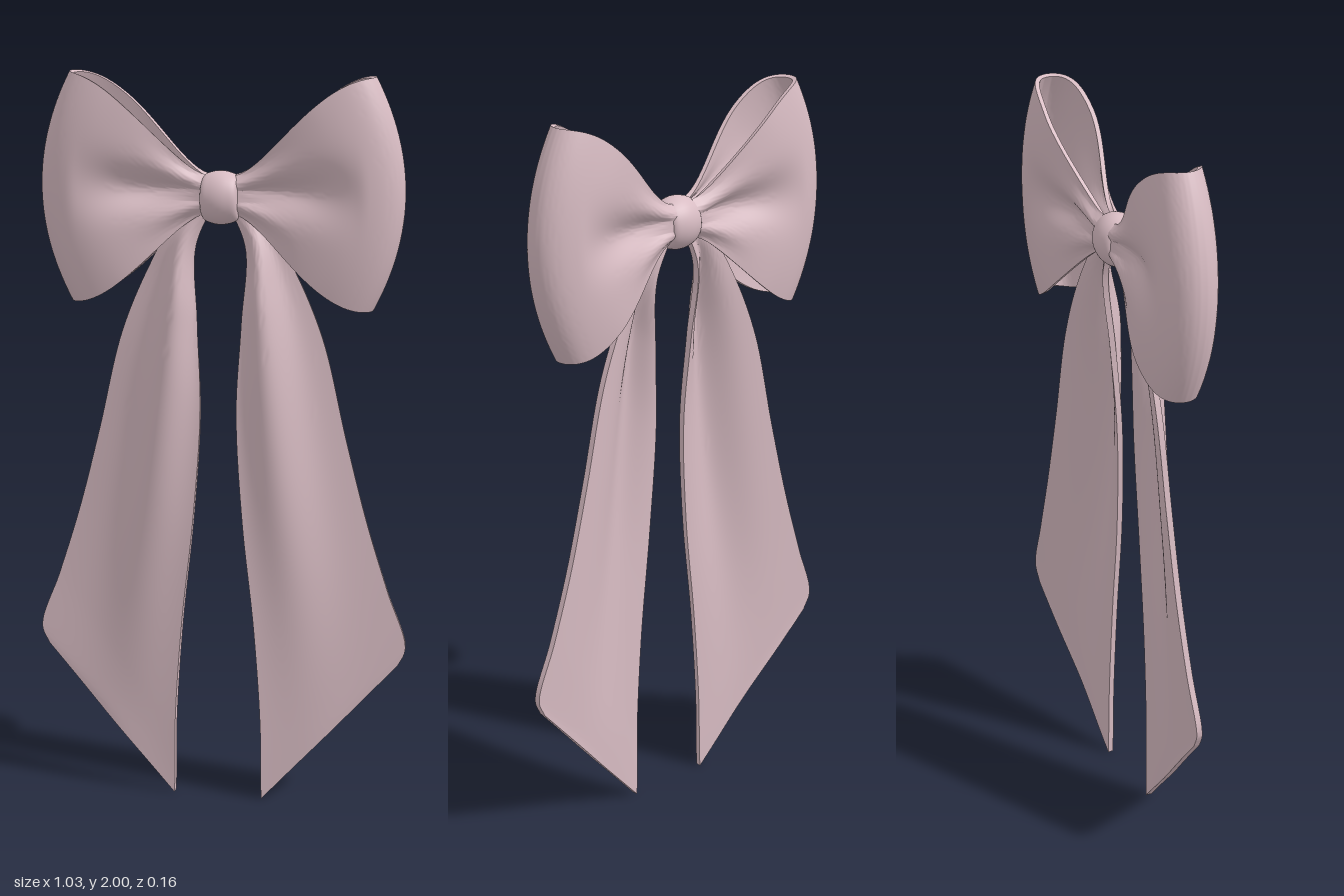
import * as THREE from 'three';
import { toCreasedNormals } from 'three/addons/utils/BufferGeometryUtils.js';

const { smoothstep, lerp } = THREE.MathUtils;

// Solid ribbon: a surface point(u, v), u and v in 0..1, thickened to both sides
function ribbon(point, half, nu, nv) {
  const ring = [];
  for (let j = 0; j <= nv; j++) ring.push([j / nv, half]);
  for (let j = nv; j >= 0; j--) ring.push([j / nv, -half]);
  const K = ring.length, pos = [], idx = [], e = 0.002;
  const at = (u, v) => point(THREE.MathUtils.clamp(u, 0, 1), THREE.MathUtils.clamp(v, 0, 1));
  for (let i = 0; i <= nu; i++) {
    const u = i / nu;
    for (const [v, off] of ring) {
      const du = at(u + e, v).sub(at(u - e, v));
      const dv = at(u, v + e).sub(at(u, v - e));
      const n = du.cross(dv).normalize();
      pos.push(...at(u, v).addScaledVector(n, off).toArray());
    }
  }
  for (let i = 0; i < nu; i++) {
    for (let k = 0; k < K; k++) {
      const a = i * K + k, c = i * K + (k + 1) % K;
      idx.push(a, a + K, c, c, a + K, c + K);
    }
  }
  // End caps
  for (let k = 0; k < nv; k++) {
    const m = K - 1 - k, o = nu * K;
    idx.push(o + m, o + m - 1, o + k + 1, o + m, o + k + 1, o + k);
    idx.push(m, k + 1, m - 1, m, k, k + 1);
  }
  const geo = new THREE.BufferGeometry();
  geo.setAttribute('position', new THREE.Float32BufferAttribute(pos, 3));
  geo.setIndex(idx);
  return toCreasedNormals(geo, 0.9);
}

// Teardrop band running from the knot out along the front and home along the back
function loopPoint(side) {
  return (u, w) => {
    const t = 1 - 2 * u, v = 2 * w - 1;
    const f = Math.sin((1 - Math.abs(t)) * Math.PI / 2);
    const reach = 0.405 + 0.08 * (1 - v * v);
    const x = lerp(0.025, reach, f);
    const h = 0.045 + 0.26 * smoothstep(Math.pow(Math.max(f, 0), 0.85), 0, 1);
    const body = lerp(0.036, 0.082, smoothstep(f, 0.05, 0.75));
    const edge = lerp(0.012, 0.066, smoothstep(f, 0, 0.65));
    let z = lerp(body, edge, Math.pow(Math.abs(v), 3));
    z *= Math.sqrt(Math.max(0, 1 - Math.pow(f, 7)));
    // Pinched crease in the middle, with finer pleats by the knot
    const pinch = Math.sin(Math.PI * Math.min(f / 0.8, 1));
    z -= 0.036 * pinch * Math.exp(-Math.pow((v - 0.05) / 0.3, 2));
    z += 0.004 * Math.cos(v * 11) * smoothstep(f, 0, 0.1) * (1 - smoothstep(f, 0.15, 0.5));
    return new THREE.Vector3(side * x, 1.685 + 0.01 * f + v * h, Math.sign(t) * z);
  };
}

const curve = (pts) => new THREE.CatmullRomCurve3(pts.map(([x, y, z]) => new THREE.Vector3(x, y, z)));

// Hanging tail between an inner and an outer edge, cut at a slant
function tailPoint(side) {
  const inner = curve([[0.02, 1.66, 0], [0.07, 1.54, 0.005], [0.062, 1.34, 0.02], [0.05, 1.1, 0.035],
    [0.068, 0.8, 0.045], [0.1, 0.5, 0.047], [0.119, 0.22, 0.047], [0.121, 0.05, 0.046], [0.123, 0.005, 0.046]]);
  const outer = curve([[0.03, 1.69, 0], [0.13, 1.6, 0], [0.2, 1.48, -0.008], [0.275, 1.3, -0.01],
    [0.34, 1.03, -0.01], [0.4, 0.8, -0.01], [0.46, 0.61, -0.008], [0.512, 0.455, -0.003], [0.492, 0.405, 0]]);
  return (u, v) => {
    const p = inner.getPoint(u).lerp(outer.getPoint(u), v);
    // Soft fold under the knot, fading downwards
    const fold = smoothstep(u, 0.04, 0.27) * (1 - smoothstep(u, 0.3, 0.85));
    p.z += (0.05 * fold + 0.006) * Math.exp(-Math.pow((v - 0.4) / 0.25, 2));
    p.x *= side;
    return p;
  };
}

export function createModel() {
  const group = new THREE.Group();
  const pink = new THREE.MeshStandardMaterial({ color: 0xd8bcc3 });
  pink.name = 'dusty pink';
  const add = (name, geo) => {
    const mesh = new THREE.Mesh(geo, pink);
    mesh.name = name;
    group.add(mesh);
    return mesh;
  };

  for (const [side, label] of [[1, 'left'], [-1, 'right']]) {
    add(label + 'Loop', ribbon(loopPoint(side), 0.006, 80, 48));
    add(label + 'Tail', ribbon(tailPoint(side), 0.008, 70, 28));
  }

  // Barrel-shaped knot, turned around the x axis
  const profile = new THREE.SplineCurve([[0, -0.05], [0.042, -0.05], [0.06, -0.043], [0.069, -0.022], [0.072, 0],
    [0.069, 0.022], [0.06, 0.043], [0.042, 0.05], [0, 0.05]].map(([r, x]) => new THREE.Vector2(r, x)));
  const pts = profile.getPoints(40);
  pts.forEach((p) => { p.x = Math.max(p.x, 0); });
  const knot = add('knot', new THREE.LatheGeometry(pts, 40).rotateZ(-Math.PI / 2));
  knot.scale.z = 0.87;
  knot.position.set(0, 1.677, 0.007);

  return group;
}
